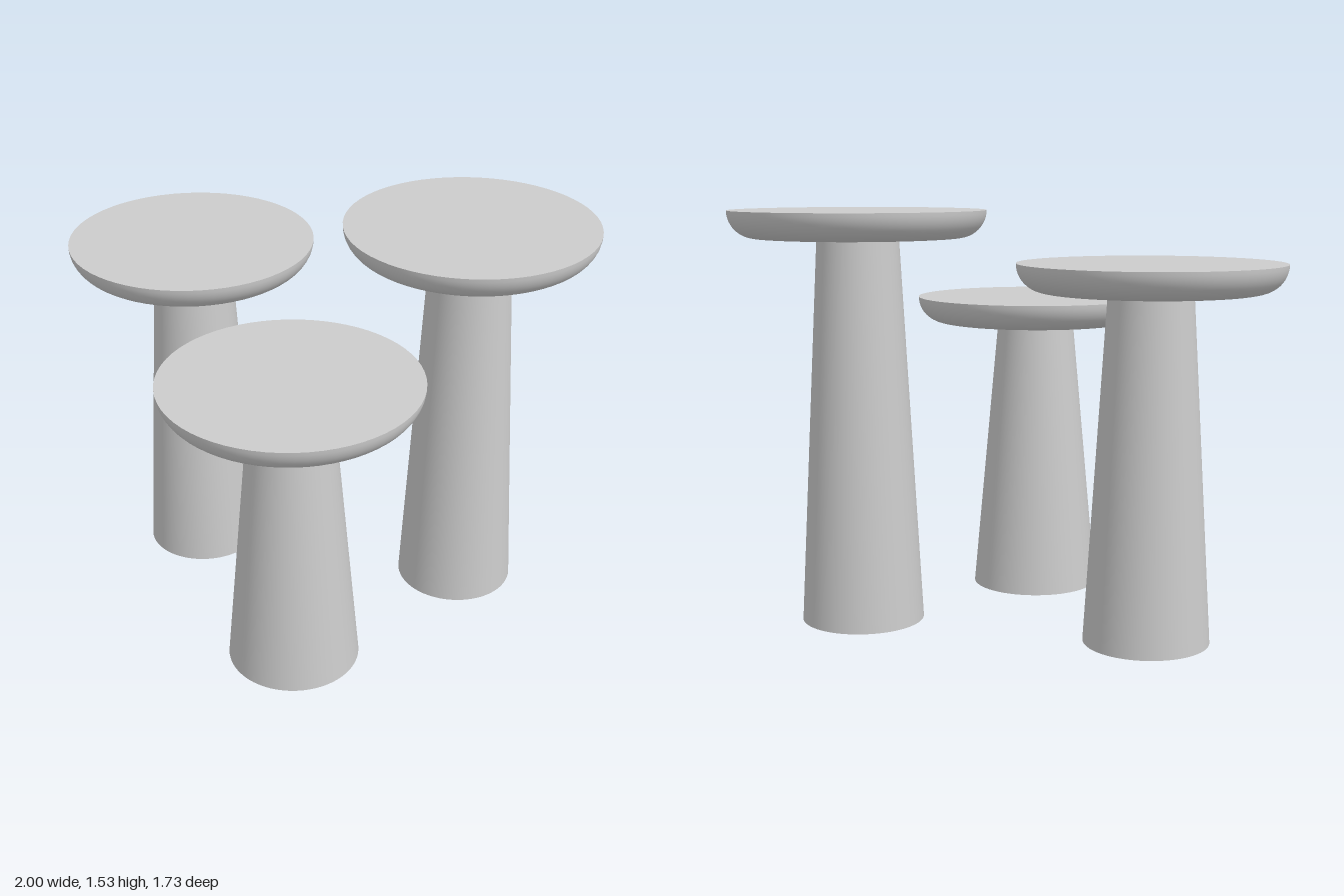
import * as THREE from 'three';

const PLATE_RADIUS = 0.47;
const PLATE_HEIGHT = 0.1;
const LEG_TOP_RADIUS = 0.15;
const SEGMENTS = 64;

// x, z, top height and foot radius of each table
const TABLES = [
  { name: 'mediumTable', x: -0.53, z: -0.395, top: 1.355, foot: 0.228 },
  { name: 'lowTable', x: -0.095, z: 0.39, top: 1.175, foot: 0.248 },
  { name: 'tallTable', x: 0.53, z: -0.17, top: 1.53, foot: 0.228 },
];

export function createModel() {
  const model = new THREE.Group();
  model.name = 'pedestalTables';
  const material = new THREE.MeshStandardMaterial({ color: 0xcccccc });
  const openMaterial = new THREE.MeshStandardMaterial({ color: 0xcccccc, side: THREE.DoubleSide });

  // Flat underside rising in a quarter round to the rim
  const profile = [new THREE.Vector2(0, 0)];
  for (let i = 0; i <= 12; i++) {
    const a = (i / 12) * Math.PI / 2;
    profile.push(new THREE.Vector2(
      PLATE_RADIUS - PLATE_HEIGHT * (1 - Math.sin(a)),
      PLATE_HEIGHT * (1 - Math.cos(a)),
    ));
  }
  const bowlGeometry = new THREE.LatheGeometry(profile, SEGMENTS);
  const topGeometry = new THREE.CircleGeometry(PLATE_RADIUS, SEGMENTS).rotateX(-Math.PI / 2);

  for (const { name, x, z, top, foot } of TABLES) {
    const table = new THREE.Group();
    table.name = name;
    table.position.set(x, 0, z);

    // Tapered hollow leg, open at the floor
    const height = top - PLATE_HEIGHT;
    const leg = new THREE.Mesh(
      new THREE.CylinderGeometry(LEG_TOP_RADIUS, foot, height, SEGMENTS, 1, true),
      openMaterial,
    );
    leg.name = 'leg';
    leg.position.y = height / 2;

    // Round table top with a crisp upper edge
    const underside = new THREE.Mesh(bowlGeometry, material);
    underside.name = 'tableTopUnderside';
    underside.position.y = height;
    const surface = new THREE.Mesh(topGeometry, material);
    surface.name = 'tableTopSurface';
    surface.position.y = top;

    table.add(leg, underside, surface);
    model.add(table);
  }
  return model;
}
